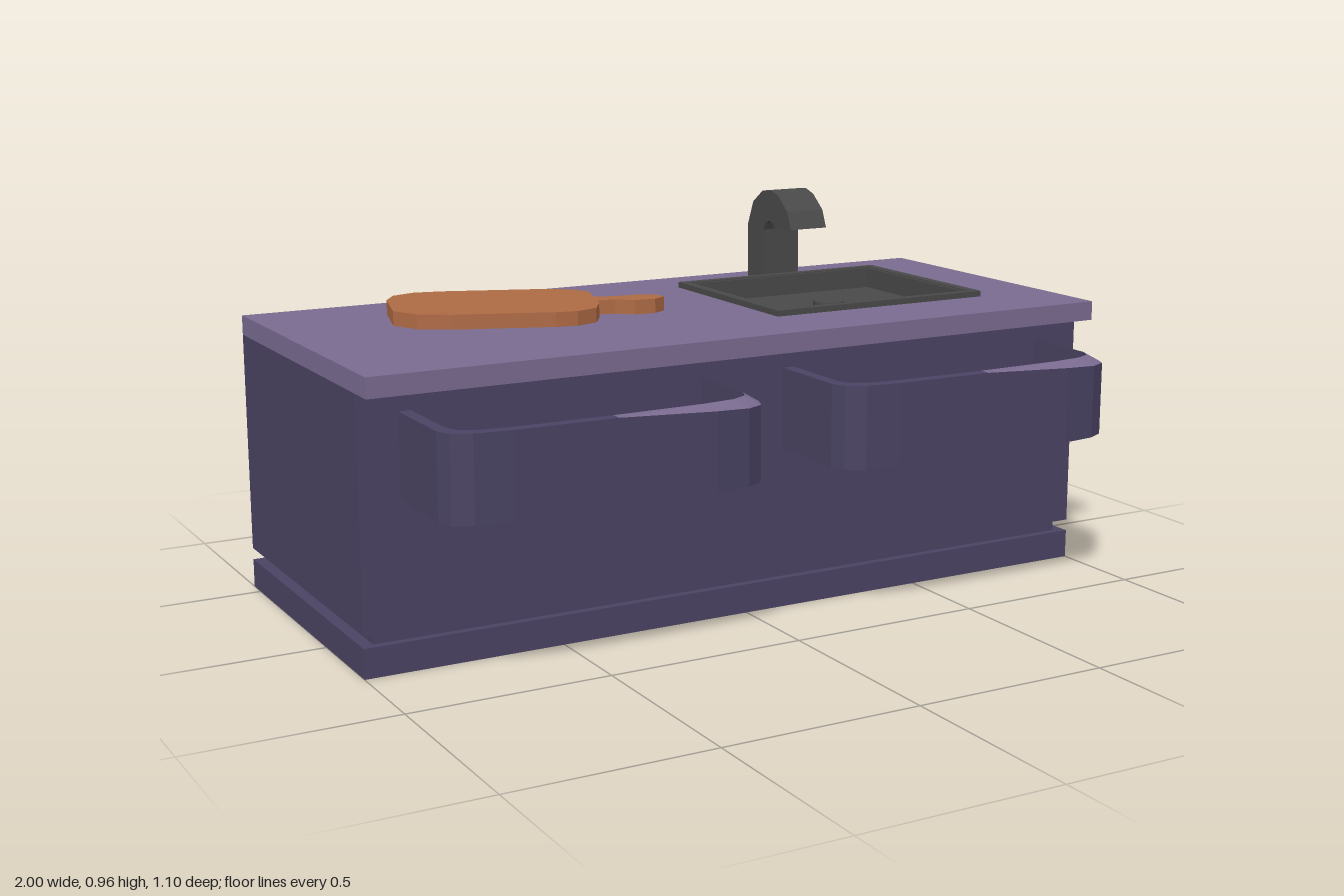
import * as THREE from 'three';

const mat = (name, color, side = THREE.FrontSide) => {
  const m = new THREE.MeshStandardMaterial({ color, side });
  m.name = name;
  return m;
};

export function createModel() {
  const group = new THREE.Group();
  const cabinetMat = mat('cabinet dark purple', 0x4a4363);
  const counterMat = mat('counter light purple', 0x7a6b90);
  const woodMat = mat('cutting board wood', 0xae6a44);
  const sinkMat = mat('sink dark grey', 0x494949);

  const add = (name, geometry, material, parent = group) => {
    const mesh = new THREE.Mesh(geometry, material);
    mesh.name = name;
    parent.add(mesh);
    return mesh;
  };
  // Box given by its limits on each axis
  const box = (name, x0, x1, y0, y1, z0, z1, material) => {
    const g = new THREE.BoxGeometry(x1 - x0, y1 - y0, z1 - z0);
    g.translate((x0 + x1) / 2, (y0 + y1) / 2, (z0 + z1) / 2);
    return add(name, g, material);
  };
  const toShape = (pts) => new THREE.Shape(pts.map(([a, b]) => new THREE.Vector2(a, b)));
  const rect = (x0, x1, z0, z1) => [[x0, z0], [x1, z0], [x1, z1], [x0, z1]];
  // Horizontal slab from an x/z outline, with an optional hole
  const slab = (outline, y0, y1, hole) => {
    const shape = toShape(outline);
    if (hole) shape.holes.push(toShape(hole));
    const g = new THREE.ExtrudeGeometry(shape, { depth: y1 - y0, bevelEnabled: false });
    return g.rotateX(Math.PI / 2).translate(0, y1, 0);
  };

  // Cabinet: plinth, recessed groove and body
  box('plinth', -1, 1, 0, 0.073, -0.55, 0.255, cabinetMat);
  box('groove', -0.97, 0.97, 0.073, 0.103, -0.53, 0.235, cabinetMat);
  box('cabinetBody', -1, 1, 0.103, 0.661, -0.55, 0.255, cabinetMat);

  // Countertop with a cut-out for the basin
  const basin = rect(0.19, 0.766, -0.375, 0.098);
  add('countertop', slab(rect(-1, 1, -0.55, 0.325), 0.661, 0.71, basin), counterMat);

  // Sink: raised frame, lining, floor and drain
  add('sinkFrame', slab(rect(0.165, 0.792, -0.397, 0.121), 0.71, 0.725, basin), sinkMat);
  add('sinkLining', slab(basin, 0.662, 0.722, rect(0.198, 0.758, -0.367, 0.09)), sinkMat);
  box('sinkFloor', 0.195, 0.761, 0.655, 0.668, -0.37, 0.093, sinkMat);
  add('drain', new THREE.CylinderGeometry(0.042, 0.042, 0.016, 14), sinkMat)
    .position.set(0.49, 0.676, -0.15);

  // Faucet: hooked side profile, in z and y
  const faucet = [
    [-0.483, 0.708], [-0.483, 0.857], [-0.455, 0.922], [-0.405, 0.957], [-0.36, 0.962],
    [-0.322, 0.95], [-0.275, 0.912], [-0.255, 0.865], [-0.34, 0.857], [-0.35, 0.872],
    [-0.37, 0.877], [-0.39, 0.868], [-0.398, 0.85], [-0.398, 0.708],
  ].map(([z, y]) => [-z, y]);
  const faucetGeo = new THREE.ExtrudeGeometry(toShape(faucet), { depth: 0.112, bevelEnabled: false });
  add('faucet', faucetGeo.rotateY(Math.PI / 2).translate(0.434, 0, 0), sinkMat);

  // Cutting board with handle, in x and z
  const board = [
    [-0.743, -0.17], [-0.70, -0.325], [-0.663, -0.38], [-0.6, -0.4], [-0.53, -0.385],
    [-0.28, -0.29], [-0.22, -0.245], [-0.203, -0.2], [-0.225, -0.125], [-0.18, -0.105],
    [-0.117, -0.1], [-0.077, -0.075], [-0.07, -0.043], [-0.107, -0.02], [-0.16, -0.027],
    [-0.2, -0.06], [-0.24, -0.07], [-0.257, -0.032], [-0.294, 0.027], [-0.353, 0.045],
    [-0.406, 0.035], [-0.636, -0.053], [-0.71, -0.1],
  ];
  add('cuttingBoard', slab(board, 0.721, 0.757), woodMat);

  // Open drawers: bowed tray walls and a floor
  const half = [[0.4, 0.25], [0.4, 0.475], [0.385, 0.51], [0.34, 0.534], [0.25, 0.545]];
  const outer = [...half.map(([x, z]) => [-x, z]), [0, 0.55], ...[...half].reverse()];
  const inner = outer.map(([x, z]) => [x * 0.925, 0.25 + (z - 0.25) * 0.9]);
  const bottom = 0.407, top = 0.61;
  // The outer lip slopes down towards the left-hand end
  const lip = ([x, z]) => [x, top - 0.02 * Math.min(1, Math.max(0, x / 0.36)), z];
  const at = ([x, z], y) => [x, y, z];

  const quads = (list) => {
    const pos = list.flatMap(([a, b, c, d]) => [a, b, c, a, c, d]).flat();
    const g = new THREE.BufferGeometry();
    g.setAttribute('position', new THREE.Float32BufferAttribute(pos, 3));
    g.computeVertexNormals();
    return g;
  };
  const walls = [], slopedRim = [];
  for (let i = 0; i < outer.length - 1; i++) {
    const [o, p, a, b] = [outer[i], outer[i + 1], inner[i], inner[i + 1]];
    walls.push([at(o, bottom), at(p, bottom), lip(p), lip(o)]);
    walls.push([at(b, bottom), at(a, bottom), at(a, top), at(b, top)]);
    walls.push([at(a, bottom), at(b, bottom), at(p, bottom), at(o, bottom)]);
    (o[0] >= 0 ? slopedRim : walls).push([lip(o), lip(p), at(b, top), at(a, top)]);
  }
  const wallGeo = quads(walls), rimGeo = quads(slopedRim), floorGeo = slab(inner, bottom, 0.44);
  for (const x of [-0.5, 0.5]) {
    const drawer = new THREE.Group();
    drawer.name = x < 0 ? 'rightDrawer' : 'leftDrawer';
    drawer.position.x = x;
    add('drawerWalls', wallGeo, cabinetMat, drawer);
    add('drawerRim', rimGeo, counterMat, drawer);
    add('drawerFloor', floorGeo, cabinetMat, drawer);
    group.add(drawer);
  }
  return group;
}
